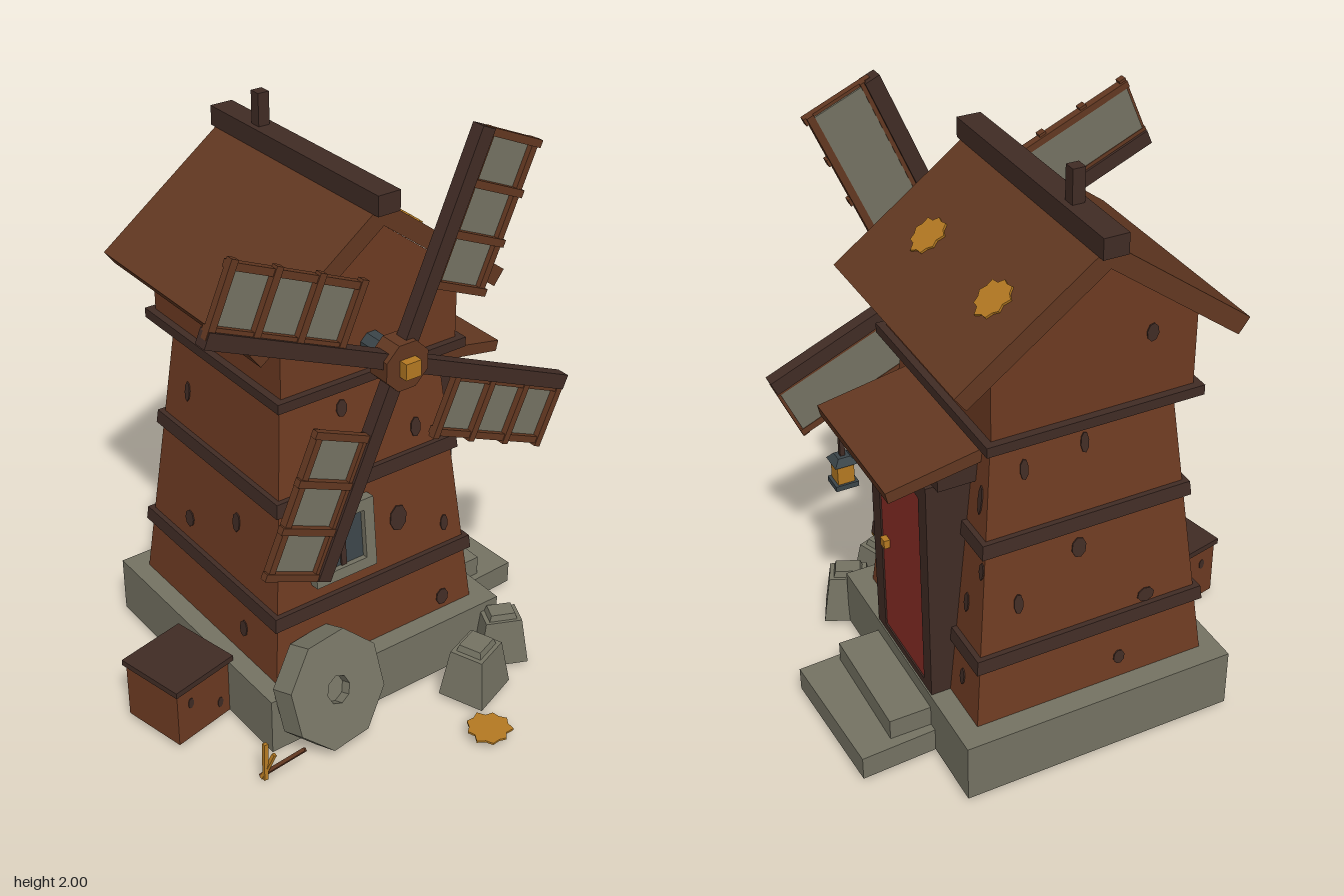
import * as THREE from 'three';

const mat = (name, color) => {
  const m = new THREE.MeshStandardMaterial({ color });
  m.name = name;
  m.flatShading = true;
  return m;
};

export function createModel() {
  const wall = mat('wallBrown', 0x6e3b22), wood = mat('roofBrown', 0x633821), dark = mat('darkTimber', 0x412c25);
  const stone = mat('stoneGrey', 0x757363), gold = mat('strawGold', 0xb57a22), red = mat('doorRed', 0x8b2d26);
  const slate = mat('slate', 0x3b4549);
  const model = new THREE.Group();
  model.name = 'windmill';
  const CZ = -0.2; // tower axis
  const TILT = Math.atan(0.1 / 0.975);

  const add = (name, geo, m, x = 0, y = 0, z = 0, parent = model) => {
    const mesh = new THREE.Mesh(geo, m);
    mesh.name = name;
    mesh.position.set(x, y, z);
    parent.add(mesh);
    return mesh;
  };
  // box from min and max corners
  const span = (name, m, x0, x1, y0, y1, z0, z1, parent = model) =>
    add(name, new THREE.BoxGeometry(x1 - x0, y1 - y0, z1 - z0), m, (x0 + x1) / 2, (y0 + y1) / 2, (z0 + z1) / 2, parent);
  // square frustum given by half widths
  const frustum = (top, bottom, h) =>
    new THREE.CylinderGeometry(top * Math.SQRT2, bottom * Math.SQRT2, h, 4, 1, false, Math.PI / 4);
  const extrude = (pts, depth) => new THREE.ExtrudeGeometry(
    new THREE.Shape(pts.map(p => new THREE.Vector2(p[0], p[1]))), { depth, bevelEnabled: false });
  const ring = (n, r, a0 = 0) => Array.from({ length: n }, (_, i) => {
    const a = a0 + i * 2 * Math.PI / n, k = typeof r === 'function' ? r(i) : r;
    return [k * Math.cos(a), k * Math.sin(a)];
  });
  const stick = (name, m, a, b, r, parent = model) => {
    const p = new THREE.Vector3(...a), d = new THREE.Vector3(...b).sub(p);
    const s = add(name, new THREE.BoxGeometry(r * 2, d.length(), r * 2), m, 0, 0, 0, parent);
    s.position.copy(p).addScaledVector(d, 0.5);
    s.quaternion.setFromUnitVectors(new THREE.Vector3(0, 1, 0), d.normalize());
    return s;
  };

  // plinth and steps
  span('plinth', stone, -0.465, 0.47, 0.02, 0.225, -0.675, 0.265);
  span('upperStep', stone, 0.4, 0.61, 0.02, 0.175, -0.41, 0);
  const step = span('lowerStep', stone, 0.45, 0.735, 0.02, 0.103, -0.445, 0.025);
  step.rotation.y = 0.05;

  // tapered tower and its belts
  const half = y => 0.4 - 0.1 * (y - 0.225) / 0.975;
  add('tower', frustum(0.3, 0.4, 0.975), wall, 0, 0.7125, CZ);
  for (const y of [0.45, 0.845])
    add('belt', frustum(half(y) + 0.015, half(y) + 0.02, 0.048), dark, 0, y, CZ);
  span('collar', dark, -0.355, 0.355, 1.203, 1.236, -0.587, 0.175);

  // gabled cap house
  add('capHouse', extrude([[-0.33, 1.236], [0.33, 1.236], [0.33, 1.477], [0, 1.725], [-0.33, 1.477]], 0.714), wall, 0, 0, -0.562);
  for (const s of [-1, 1])
    add('roofSlab', extrude([[0, 1.8], [s * 0.468, 1.452], [s * 0.432, 1.404], [0, 1.725]], 0.83), wood, 0, 0, -0.622);
  span('ridge', dark, -0.04, 0.04, 1.77, 1.835, -0.645, 0.232);
  span('finial', dark, -0.02, 0.02, 1.83, 1.942, -0.44, -0.4);

  // straw patches: two on the roof, one on the ground
  const jag = r => extrude(ring(18, i => r * [1, 0.84, 0.95, 0.78, 1.04, 0.86][i % 6]), 0.007);
  for (const z of [-0.44, -0.025]) {
    const p = add('roofPatch', jag(0.065), gold, 0.258, 1.8 - 0.744 * 0.258, z);
    p.quaternion.setFromUnitVectors(new THREE.Vector3(0, 0, 1), new THREE.Vector3(0.6, 0.8, 0).normalize());
  }
  add('groundStraw', jag(0.077), gold, 0.155, 0.037, 0.605).rotation.x = -Math.PI / 2;

  // place a part flat on tower side 0 front, 1 left, 2 back, 3 right
  const sides = [0, 1, 2, 3].map(i => {
    const g = new THREE.Group();
    g.name = 'towerSide';
    g.position.z = CZ;
    g.rotation.y = i * Math.PI / 2;
    model.add(g);
    return g;
  });
  const spotGeo = extrude(ring(8, 1, 0.2), 1);
  const spots = [
    [0, 0.113, 0.64, 0.034, 0.047], [0, 0.28, 0.27, 0.025, 0.03], [0, -0.3, 0.75, 0.02, 0.03], [0, 0.2, 0.94, 0.02, 0.035],
    [0, -0.08, 1.1, 0.02, 0.03], [0, 0.3, 0.55, 0.015, 0.03],
    [1, 0.28, 0.98, 0.012, 0.05], [1, 0.28, 0.33, 0.014, 0.03], [1, 0.33, 0.76, 0.013, 0.03], [1, 0.26, 0.6, 0.014, 0.035],
    [2, -0.2, 1.07, 0.014, 0.035], [2, 0, 1.1, 0.014, 0.035], [2, -0.03, 0.75, 0.025, 0.035], [2, 0.2, 0.5, 0.03, 0.025],
    [2, -0.24, 0.62, 0.016, 0.035], [2, 0.1, 0.3, 0.02, 0.025],
    [3, -0.2, 1.0, 0.014, 0.035], [3, 0.12, 0.68, 0.02, 0.035], [3, -0.15, 0.55, 0.025, 0.03], [3, 0.2, 0.32, 0.02, 0.03],
  ];
  for (const [i, u, y, rx, ry] of spots) {
    const s = add('wallSpot', spotGeo, dark, u, y, half(y) - 0.001, sides[i]);
    s.scale.set(rx, ry, 0.005);
    s.rotation.x = -TILT;
  }
  add('gableSpot', spotGeo, dark, -0.18, 1.45, -0.566).scale.set(0.02, 0.03, 0.005);

  // front window
  const win = new THREE.Group();
  win.name = 'window';
  win.position.set(-0.122, 0.655, half(0.655));
  win.rotation.x = -TILT;
  sides[0].add(win);
  for (const s of [-1, 1]) {
    span('windowJamb', stone, s * 0.0985 - 0.019, s * 0.0985 + 0.019, -0.125, 0.125, -0.02, 0.035, win);
    span('windowRail', stone, -0.08, 0.08, s * 0.106 - 0.019, s * 0.106 + 0.019, -0.02, 0.035, win);
  }
  span('windowPane', slate, -0.08, 0.08, -0.088, 0.088, -0.01, 0.015, win);
  span('mullion', dark, -0.01, 0.01, -0.088, 0.088, 0.0, 0.022, win);

  // doorway with awning
  for (const [a, b] of [[-0.06, 0], [-0.41, -0.355]]) span('doorPost', dark, 0.28, 0.465, 0.225, 1.02, a, b);
  span('doorLintel', dark, 0.28, 0.465, 0.955, 1.02, -0.355, -0.06);
  span('doorSill', dark, 0.28, 0.465, 0.225, 0.25, -0.355, -0.06);
  span('door', red, 0.3, 0.46, 0.25, 0.955, -0.355, -0.06);
  span('doorKnob', gold, 0.46, 0.48, 0.6, 0.63, -0.115, -0.085);
  add('awning', extrude([[0.27, 1.15], [0.61, 1.085], [0.602, 1.048], [0.27, 1.105]], 0.505), wood, 0, 0, -0.46);
  span('awningBeam', dark, 0.28, 0.44, 1.02, 1.08, -0.44, 0.01);

  // hanging lantern
  stick('lanternArm', dark, [0.44, 0.95, -0.01], [0.55, 0.965, 0.035], 0.01);
  stick('lanternHook', dark, [0.545, 0.88, 0.035], [0.545, 0.975, 0.035], 0.008);
  add('lanternGlow', new THREE.BoxGeometry(0.055, 0.075, 0.055), gold, 0.545, 0.835, 0.035);
  add('lanternCap', frustum(0.02, 0.038, 0.022), slate, 0.545, 0.879, 0.035);
  add('lanternFoot', new THREE.BoxGeometry(0.076, 0.018, 0.07), slate, 0.545, 0.79, 0.035);

  // wind shaft, hub and four sails
  const oct = (r, h) => new THREE.CylinderGeometry(r, r, h, 8, 1, false, Math.PI / 8).rotateX(Math.PI / 2);
  const rotor = new THREE.Group();
  rotor.name = 'rotor';
  rotor.position.set(0, 1.32, 0.29);
  model.add(rotor);
  add('shaft', oct(0.042, 0.2), slate, 0, 0, -0.12, rotor);
  add('hub', oct(0.083, 0.08), wood, 0, 0, 0, rotor);
  span('hubCap', gold, -0.028, 0.028, -0.027, 0.027, 0.03, 0.07, rotor);
  for (let i = 0; i < 4; i++) {
    const sail = new THREE.Group();
    sail.name = 'sail';
    sail.rotation.z = -0.41 + i * Math.PI / 2;
    rotor.add(sail);
    span('spar', dark, -0.025, 0.025, 0, 0.728, -0.023, 0.023, sail);
    span('cloth', stone, 0.02, 0.215, 0.25, 0.72, -0.012, -0.004, sail);
    span('innerRail', wood, 0.02, 0.038, 0.24, 0.73, -0.014, 0.014, sail);
    span('outerRail', wood, 0.2, 0.223, 0.24, 0.73, -0.014, 0.014, sail);
    for (const y of [0.25, 0.407, 0.563, 0.718])
      span('crossBar', wood, 0, 0.232, y - 0.012, y + 0.012, -0.006, 0.018, sail);
  }

  // leaning millstone with a blind centre hole
  const mill = new THREE.Group();
  mill.name = 'millstone';
  mill.position.set(-0.257, 0.205, 0.29);
  mill.rotation.set(-0.33, 0.14, 0, 'YXZ');
  model.add(mill);
  const disc = new THREE.Shape(ring(8, 0.198, Math.PI / 8).map(p => new THREE.Vector2(...p)));
  disc.holes.push(new THREE.Path(ring(8, 0.048).map(p => new THREE.Vector2(...p))));
  add('millstoneDisc', new THREE.ExtrudeGeometry(disc, { depth: 0.09, bevelEnabled: false }), stone, 0, 0, -0.045, mill);
  add('millstoneCore', oct(0.055, 0.05), stone, 0, 0, -0.015, mill);

  // two tapered stone weights
  for (const [x, z, w, d, turn] of [[0.265, 0.4, 0.19, 0.165, 0.36], [0.445, 0.315, 0.175, 0.125, -0.42]]) {
    const g = new THREE.Group();
    g.name = 'stoneWeight';
    g.position.set(x, 0.02, z);
    g.rotation.y = turn;
    g.scale.set(w, 1, d);
    model.add(g);
    add('weightBody', frustum(0.36, 0.5, 0.17), stone, 0, 0.085, 0, g);
    add('weightNeck', frustum(0.24, 0.28, 0.025), stone, 0, 0.18, 0, g);
  }

  // lidded crate
  const crate = new THREE.Group();
  crate.name = 'crate';
  crate.position.set(-0.6, 0, -0.08);
  crate.rotation.y = 0.22;
  model.add(crate);
  span('crateBody', wall, -0.118, 0.118, 0.02, 0.226, -0.118, 0.118, crate);
  span('crateLid', dark, -0.127, 0.127, 0.224, 0.245, -0.127, 0.127, crate);
  for (const [u, y] of [[-0.06, 0.16], [0.07, 0.08]])
    for (const s of [-1, 1])
      add('crateSpot', spotGeo, dark, u, y, s * 0.118 - 0.0025, crate).scale.set(0.012, 0.02, 0.005);

  // splintered sticks
  stick('splinter', wood, [-0.55, 0.006, 0.32], [-0.435, 0.12, 0.405], 0.006);
  stick('splinter', gold, [-0.545, 0.006, 0.34], [-0.535, 0.14, 0.33], 0.007);
  stick('splinter', gold, [-0.55, 0.006, 0.33], [-0.515, 0.1, 0.35], 0.006);
  return model;
}
